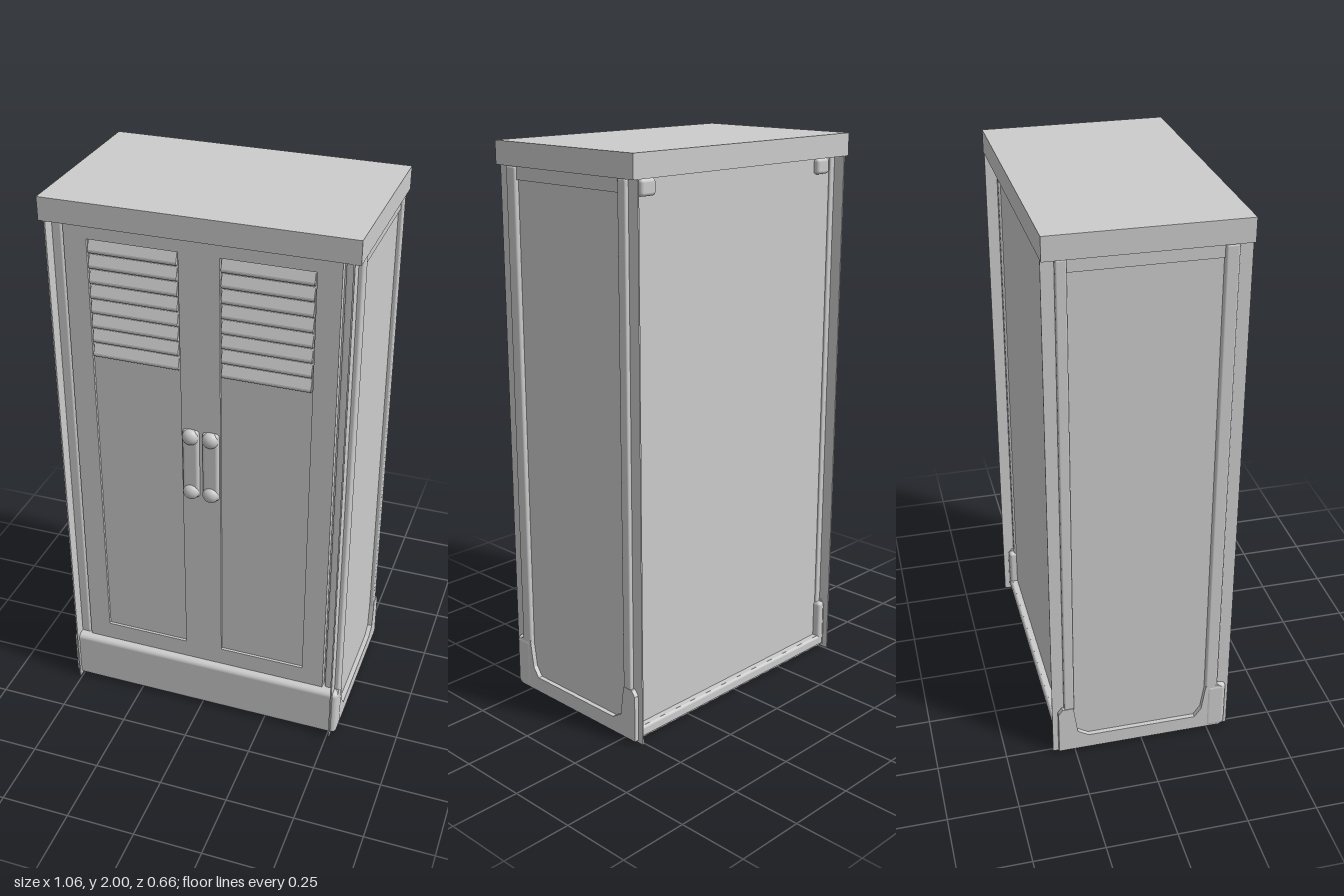
import * as THREE from 'three';
import { RoundedBoxGeometry } from 'three/addons/geometries/RoundedBoxGeometry.js';

const grey = new THREE.MeshStandardMaterial({ color: 0xcccccc });
grey.name = 'paintedGrey';

export function createModel() {
  const model = new THREE.Group();
  model.name = 'locker';

  const add = (name, geometry) => {
    const mesh = new THREE.Mesh(geometry, grey);
    mesh.name = name;
    model.add(mesh);
    return mesh;
  };
  // Box given by its limits on each axis, optionally rounded
  const block = (name, [x0, x1], [y0, y1], [z0, z1], r = 0) => {
    const size = [x1 - x0, y1 - y0, z1 - z0];
    const mesh = add(name, r ? new RoundedBoxGeometry(...size, 3, r) : new THREE.BoxGeometry(...size));
    mesh.position.set((x0 + x1) / 2, (y0 + y1) / 2, (z0 + z1) / 2);
    return mesh;
  };
  const span = (s, a, b) => (s > 0 ? [a, b] : [-b, -a]);
  const polygon = (pts) => new THREE.Shape(pts.map((p) => new THREE.Vector2(...p)));

  // Cap and cabinet body
  block('topCap', [-0.53, 0.53], [1.92, 2], [-0.33, 0.33]);
  block('cabinetBody', [-0.505, 0.505], [0.01, 1.92], [-0.28, 0.265]);

  // Double door front with two recessed panels
  const front = polygon([[-0.465, 0.19], [0.465, 0.19], [0.465, 1.92], [-0.465, 1.92]]);
  for (const s of [-1, 1]) {
    const [a, b] = span(s, 0.07, 0.385);
    front.holes.push(new THREE.Path([[a, 0.27], [a, 1.86], [b, 1.86], [b, 0.27]].map((p) => new THREE.Vector2(...p))));
  }
  const doors = add('doorFrames', new THREE.ExtrudeGeometry(front, { depth: 0.025, bevelEnabled: false }));
  doors.position.z = 0.265;

  // Recessed panel skins with slanted, round-lipped louvres
  const slats = 8, pitch = 0.43 / slats;
  const slat = new THREE.Shape();
  slat.moveTo(0, pitch);
  slat.lineTo(0, 0.006);
  slat.lineTo(0.012, 0.006);
  slat.quadraticCurveTo(0.021, 0.008, 0.019, 0.02);
  slat.lineTo(0.006, pitch);
  for (const s of [-1, 1]) {
    const [a, b] = span(s, 0.07, 0.385);
    block('doorPanel', [a, b], [0.27, 1.86], [0.26, 0.28]);
    for (let i = 0; i < slats; i++) {
      const geo = new THREE.ExtrudeGeometry(slat, { depth: b - a - 0.01, bevelEnabled: false, curveSegments: 5 });
      geo.rotateY(-Math.PI / 2); // profile depth to +z, length to -x
      const louvre = add('louvre', geo);
      louvre.position.set(b - 0.005, 1.43 + i * pitch, 0.276);
    }
  }

  // Door handles: grip with a soft boss at each end
  for (const s of [-1, 1]) {
    block('handleGrip', span(s, 0.006, 0.066), [0.945, 1.215], [0.275, 0.303], 0.012);
    for (const y of [0.968, 1.19]) {
      const boss = add('handleBoss', new THREE.SphereGeometry(0.029, 20, 14));
      boss.position.set(s * 0.036, y, 0.299);
      boss.scale.z = 0.75;
    }
  }

  // Low plinth, its sides rising at the corners
  const skirt = polygon([
    [-0.31, 0.01], [0.3, 0.01], [0.3, 0.19], [0.285, 0.2], [0.24, 0.2], [0.225, 0.1], [0.2, 0.065],
    [-0.2, 0.065], [-0.24, 0.09], [-0.255, 0.2], [-0.295, 0.2], [-0.31, 0.18],
  ]);
  block('plinthFront', [-0.53, 0.53], [0.005, 0.2], [0.24, 0.318], 0.018);
  block('plinthBack', [-0.52, 0.52], [0.01, 0.05], [-0.308, -0.27], 0.01);
  block('plinthFloor', [-0.52, 0.52], [0.005, 0.05], [-0.3, 0.25]);

  for (const s of [-1, 1]) {
    // Thin full-depth side sheet
    block('sideSheet', span(s, 0.506, 0.511), [0, 1.92], [-0.33, 0.33]);
    // Raised edging around the side sheet
    block('frontCornerPost', span(s, 0.472, 0.528), [0.15, 1.92], [0.238, 0.284], 0.008);
    block('backCornerPost', span(s, 0.485, 0.526), [0.15, 1.92], [-0.288, -0.252], 0.006);
    block('sideTopEdging', span(s, 0.5, 0.518), [1.875, 1.92], [-0.255, 0.24]);
    const side = add('plinthSide', new THREE.ExtrudeGeometry(skirt, { depth: 0.025, bevelEnabled: false }));
    side.geometry.rotateY(-Math.PI / 2); // profile x becomes z, depth to -x
    side.position.x = s > 0 ? 0.528 : -0.503;
    // Rear feet and upper clips
    block('rearFoot', span(s, 0.48, 0.525), [0.01, 0.19], [-0.308, -0.26], 0.012);
    block('rearClip', span(s, 0.4, 0.465), [1.86, 1.915], [-0.3, -0.27], 0.012);
  }
  return model;
}
